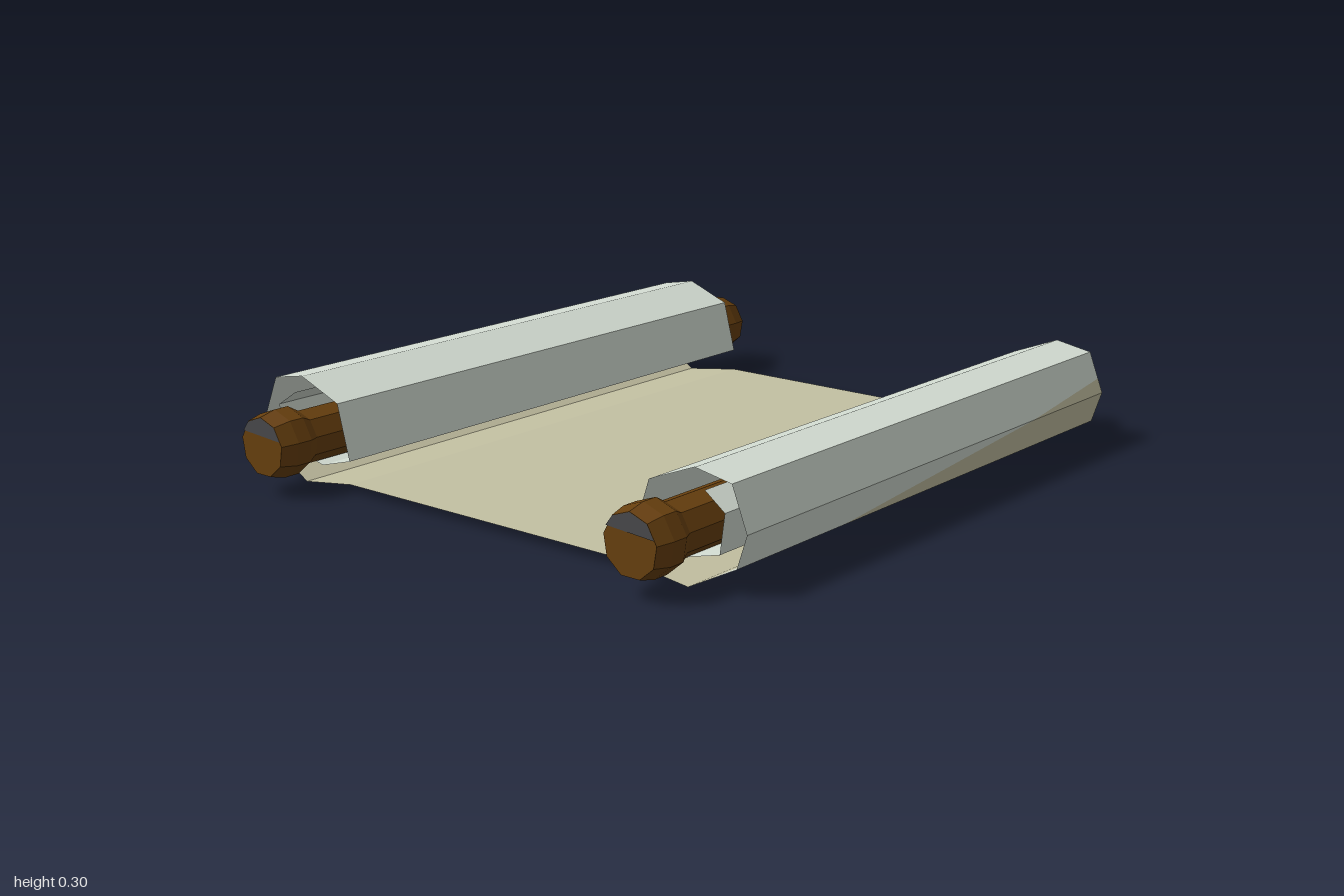
import * as THREE from 'three';

const Z0 = 0.83, Z1 = -0.86; // front and back edges of the paper
const ROD_Y = 0.14;

function mat(name, color, side = THREE.FrontSide) {
  const m = new THREE.MeshStandardMaterial({ color, side });
  m.name = name;
  return m;
}

// Flat-shaded mesh from a list of quads, each four [x, y, z] corners
function quadMesh(name, quads, material) {
  const pos = [];
  for (const [a, b, c, d] of quads) pos.push(...a, ...b, ...c, ...a, ...c, ...d);
  const g = new THREE.BufferGeometry();
  g.setAttribute('position', new THREE.Float32BufferAttribute(pos, 3));
  g.computeVertexNormals();
  const mesh = new THREE.Mesh(g, material);
  mesh.name = name;
  return mesh;
}

// Coiled paper: tan up to a stain line, pale beyond it.
// stain is a list of [z, u], u counting along the profile segments.
function coil(side, profile, stain, tan, pale) {
  const at = (u, z) => {
    const i = Math.min(Math.floor(u), profile.length - 2), t = u - i;
    const [a, b] = [profile[i], profile[i + 1]];
    return [a[0] + (b[0] - a[0]) * t, a[1] + (b[1] - a[1]) * t, z];
  };
  const tanQuads = [], paleQuads = [];
  for (let k = 0; k < stain.length - 1; k++) {
    const [za, ua] = stain[k], [zb, ub] = stain[k + 1];
    for (let i = 0; i < profile.length - 1; i++) {
      const ca = THREE.MathUtils.clamp(ua, i, i + 1);
      const cb = THREE.MathUtils.clamp(ub, i, i + 1);
      if (ca > i || cb > i) tanQuads.push([at(i, za), at(ca, za), at(cb, zb), at(i, zb)]);
      if (ca < i + 1 || cb < i + 1) paleQuads.push([at(ca, za), at(i + 1, za), at(i + 1, zb), at(cb, zb)]);
    }
  }
  const g = new THREE.Group();
  g.name = side + 'Coil';
  g.add(quadMesh(side + 'CoilStain', tanQuads, tan), quadMesh(side + 'CoilPaper', paleQuads, pale));
  return g;
}

// Nine-sided rod with a knob at each end
function rod(side, x, wood, grey) {
  const g = new THREE.Group();
  g.name = side + 'Rod';
  const half = [[0.075, 0.7], [0.075, 0.87], [0.095, 0.905], [0.095, 0.95], [0.083, 1]];
  const pts = [
    ...half.slice().reverse().map(([r, z]) => new THREE.Vector2(r, -z)),
    ...half.map(([r, z]) => new THREE.Vector2(r, z)),
  ];
  const body = new THREE.LatheGeometry(pts, 9, Math.PI).toNonIndexed();
  body.rotateX(Math.PI / 2);
  body.computeVertexNormals();
  const shaft = new THREE.Mesh(body, wood);
  shaft.name = 'shaft';
  g.add(shaft);

  // End caps, each with a dark segment: upper at the front, lower at the back
  const corner = (k) => {
    const a = Math.PI / 2 + k * Math.PI * 2 / 9;
    return new THREE.Vector2(0.082 * Math.cos(a), 0.082 * Math.sin(a));
  };
  const upper = [new THREE.Vector2(0.074, 0.026), corner(-1), corner(0), corner(1), new THREE.Vector2(-0.073, 0.036)];
  const lower = [3, 4, 5, 6].map(corner);
  [['front', 0, upper], ['back', Math.PI, lower]].forEach(([end, turn, outline]) => {
    const cap = new THREE.Group();
    cap.name = end + 'Cap';
    const disc = new THREE.Mesh(new THREE.CircleGeometry(0.083, 9, Math.PI / 2), wood);
    disc.name = 'capDisc';
    disc.position.z = 0.998;
    const patch = new THREE.Mesh(new THREE.ShapeGeometry(new THREE.Shape(outline)), grey);
    patch.name = 'capPatch';
    patch.position.z = 1;
    cap.add(disc, patch);
    cap.rotation.y = turn;
    g.add(cap);
  });
  g.position.set(x, ROD_Y, 0);
  return g;
}

export function createModel() {
  const tan = mat('tanPaper', 0xc3c0a2, THREE.DoubleSide);
  const pale = mat('palePaper', 0xd3dcd2, THREE.DoubleSide);
  const wood = mat('brownWood', 0x673f0e);
  const grey = mat('darkGrey', 0x48484a);
  const model = new THREE.Group();
  model.name = 'scroll';

  // Open sheet between the rolls
  const flat = [[-0.69, 0], [-0.51, 0.025], [0.47, 0.025], [0.67, 0]];
  const quads = flat.slice(1).map((b, i) => {
    const a = flat[i];
    return [[...a, Z0], [...b, Z0], [...b, Z1], [...a, Z1]];
  });
  model.add(quadMesh('openSheet', quads, tan));

  // Spiral profiles, from the ground outwards, over and in again
  const leftSideProfile = [[0.67, 0], [0.815, 0.075], [0.845, 0.165], [0.80, 0.28], [0.69, 0.30],
    [0.55, 0.245], [0.50, 0.095], [0.61, 0.06], [0.765, 0.10], [0.78, 0.205], [0.72, 0.25]];
  const rightSideProfile = [[-0.69, 0], [-0.82, 0.08], [-0.85, 0.165], [-0.80, 0.28], [-0.69, 0.30],
    [-0.55, 0.245], [-0.51, 0.09], [-0.62, 0.06], [-0.78, 0.10], [-0.79, 0.205], [-0.72, 0.25]];
  model.add(coil('left', leftSideProfile, [[Z0, 0.36], [0.4, 1], [-0.47, 2], [Z1, 2.35]], tan, pale));
  model.add(coil('right', rightSideProfile, [[Z0, 1], [Z1, 1]], tan, pale));

  model.add(rod('left', 0.635, wood, grey), rod('right', -0.665, wood, grey));
  return model;
}
